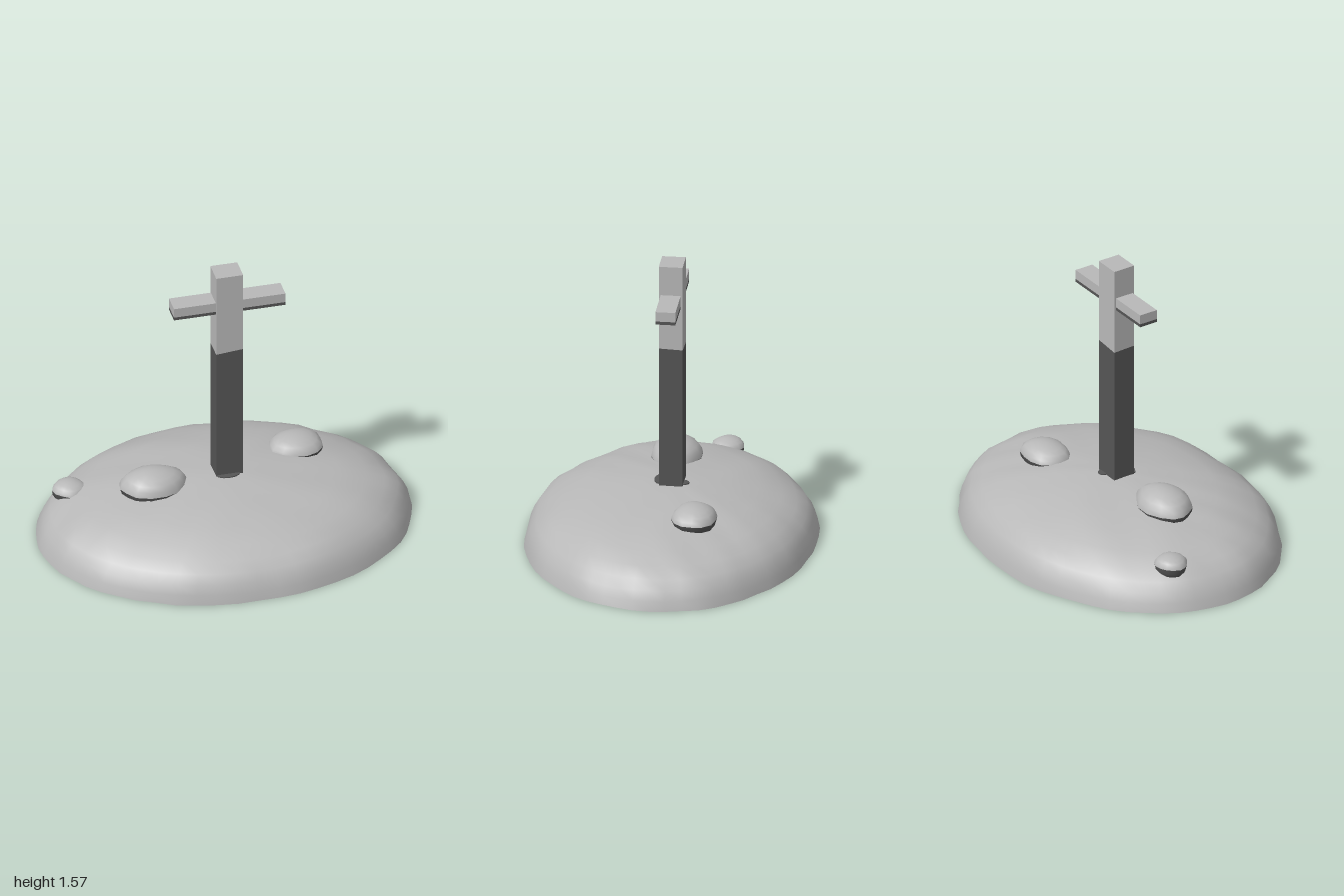
import * as THREE from 'three';
import { mergeVertices } from 'three/addons/utils/BufferGeometryUtils.js';

// Weld seams so bumped surfaces shade smoothly
function weld(geometry) {
  geometry.deleteAttribute('uv');
  geometry.deleteAttribute('normal');
  return mergeVertices(geometry, 1e-4);
}

function moveVertices(geometry, rule) {
  const p = geometry.attributes.position;
  const v = new THREE.Vector3();
  for (let i = 0; i < p.count; i++) {
    rule(v.fromBufferAttribute(p, i));
    p.setXYZ(i, v.x, v.y, v.z);
  }
  geometry.computeVertexNormals();
  return geometry;
}

const bump = (x, z) =>
  (Math.sin(9 * x + 4 * z + 1) + Math.sin(13 * z - 6 * x) + Math.sin(19 * x + 15 * z + 2)) / 3;

export function createModel() {
  const model = new THREE.Group();
  const paleGrey = new THREE.MeshStandardMaterial({ color: 0xb8b8b8 });
  const darkGrey = new THREE.MeshStandardMaterial({ color: 0x555555 });
  const moundGrey = new THREE.MeshStandardMaterial({ color: 0xb8b8b8, side: THREE.DoubleSide });
  moundGrey.name = 'moundGrey';
  paleGrey.name = 'paleGrey';
  darkGrey.name = 'darkGrey';

  function add(name, geometry, material, parent = model) {
    const mesh = new THREE.Mesh(geometry, material);
    mesh.name = name;
    parent.add(mesh);
    return mesh;
  }

  function box(x0, x1, y0, y1, z0, z1) {
    return new THREE.BoxGeometry(x1 - x0, y1 - y0, z1 - z0)
      .translate((x0 + x1) / 2, (y0 + y1) / 2, (z0 + z1) / 2);
  }

  // Hollow oval mound with a gently uneven skin
  const profile = [
    [1, 0], [0.985, 0.05], [0.96, 0.1], [0.92, 0.148], [0.85, 0.192], [0.75, 0.235],
    [0.6, 0.278], [0.4, 0.308], [0.2, 0.328], [0, 0.335],
  ].map(([r, y]) => new THREE.Vector2(r, y));
  const mound = weld(new THREE.LatheGeometry(profile, 56));
  moveVertices(mound, (v) => {
    const r = Math.hypot(v.x, v.z);
    const n = bump(v.x, v.z);
    const spread = 1 + 0.012 * n * r;
    if (v.y > 0.01) v.y += 0.008 * n * Math.min(1, r * 2);
    v.x = THREE.MathUtils.clamp(v.x * spread, -1, 1);
    v.z *= 0.765 * spread;
  });
  add('mound', mound, moundGrey);

  // Upright post: dark lower part with a slanted join, pale upper part
  const post = new THREE.Group();
  post.name = 'post';
  model.add(post);
  const join = (x, z) => 1.097 + 0.09 * x + 0.04 * z;
  const lower = box(-0.055, 0.09, 0.245, 1.1, -0.07, 0.055);
  const upper = box(-0.055, 0.09, 1.1, 1.57, -0.07, 0.055);
  for (const part of [lower, upper]) {
    moveVertices(part, (v) => {
      if (Math.abs(v.y - 1.1) < 0.01) v.y = join(v.x, v.z);
    });
  }
  add('lowerPost', lower, darkGrey, post);
  add('upperPost', upper, paleGrey, post);

  // Crossbar with a dark underside
  add('crossbar', box(-0.28, 0.32, 1.357, 1.41, -0.06, 0.045), paleGrey);
  add('crossbarUnderside', box(-0.28, 0.32, 1.34, 1.357, -0.06, 0.045), darkGrey);

  // Thin dark stains on the mound around the post
  for (const [x, z, rx, rz] of [[0.01, 0.05, 0.065, 0.037], [0.045, -0.075, 0.027, 0.025]]) {
    const stain = add('postStain', new THREE.CylinderGeometry(1, 1, 0.006, 12), darkGrey);
    stain.scale.set(rx, 1, rz);
    stain.position.set(x, 0.336, z);
  }

  // Flattened stones: pale crown, dark buried underside
  const stones = [
    { at: [-0.385, 0.312, 0.02], size: [0.18, 0.093, 0.138], depth: 0.1, tip: 0.09 },
    { at: [0.43, 0.305, -0.175], size: [0.148, 0.068, 0.122], depth: 0.09, tip: 0 },
    { at: [-0.78, 0.208, -0.205], size: [0.09, 0.047, 0.085], depth: 0.08, tip: 0 },
  ];
  stones.forEach(({ at, size, depth, tip }, i) => {
    const stone = new THREE.Group();
    stone.name = 'stone' + (i + 1);
    stone.position.set(...at);
    model.add(stone);
    const half = (start, height) =>
      moveVertices(weld(new THREE.SphereGeometry(1, 14, 5, 0, Math.PI * 2, start, Math.PI / 2)), (v) => {
        const n = 1 + 0.05 * Math.sin(3 * v.x + 4 * v.z + i * 2);
        // One end of the largest stone narrows to a point
        const narrow = v.x < 0 ? 1 + tip * 2 * v.x : 1;
        v.set(v.x * size[0] * n, v.y * height, v.z * size[2] * n * narrow);
      });
    add('stoneCrown', half(0, size[1]), paleGrey, stone);
    add('stoneUnderside', half(Math.PI / 2, depth), darkGrey, stone);
  });

  return model;
}
